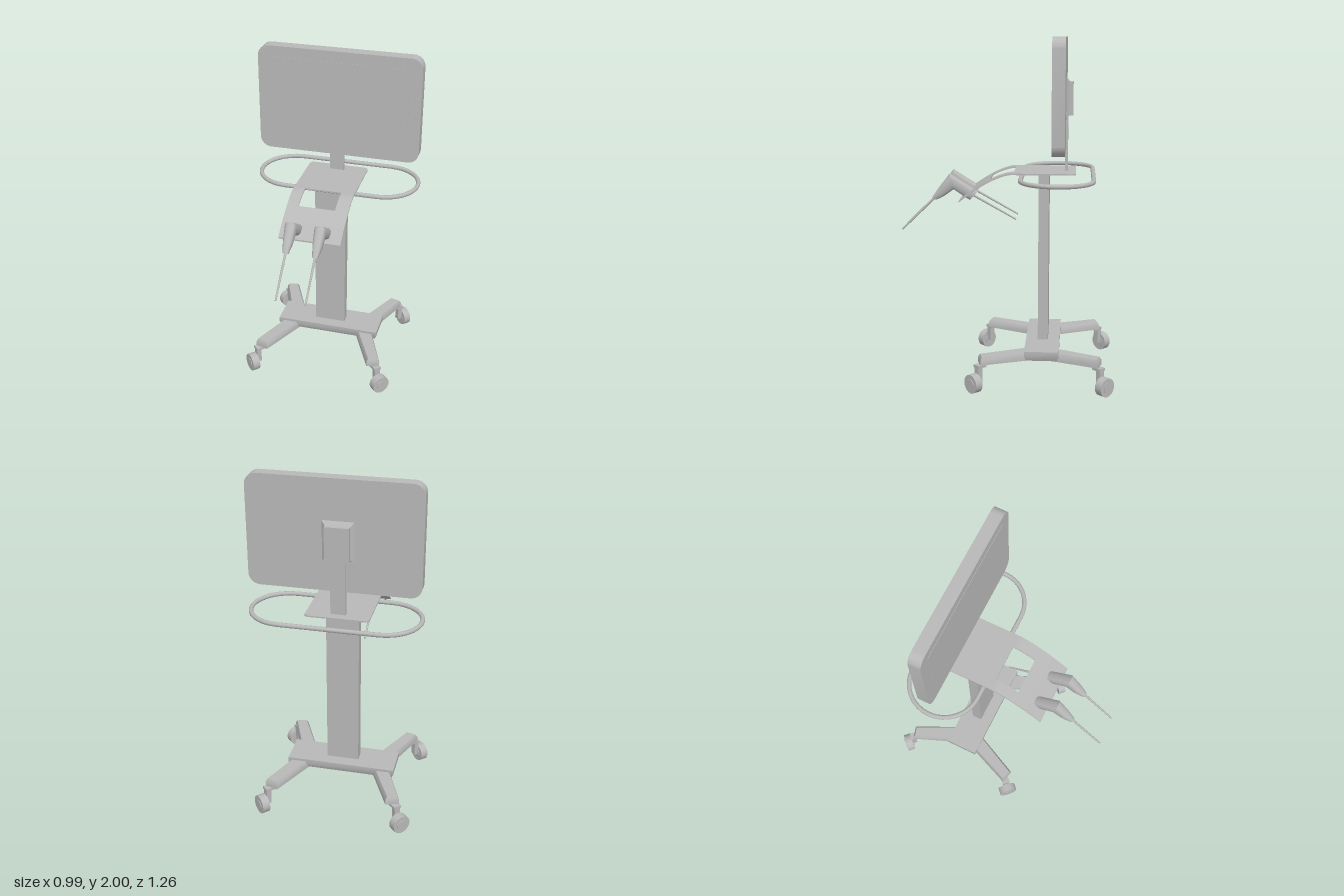
import * as THREE from 'three';
import { toCreasedNormals } from 'three/addons/utils/BufferGeometryUtils.js';

const CX = -0.025; // centre line of the stand
const V = (x, y, z) => new THREE.Vector3(x, y, z);

// Skin a list of rings (each clockwise when seen from the far end) and cap both ends
function loft(rings) {
  const pos = [], n = rings[0].length;
  const tri = (...p) => p.forEach(v => pos.push(v.x, v.y, v.z));
  const mid = r => r.reduce((s, v) => s.add(v), V(0, 0, 0)).divideScalar(n);
  const first = rings[0], last = rings[rings.length - 1];
  const m0 = mid(first), m1 = mid(last);
  for (let i = 0; i < n; i++) {
    const j = (i + 1) % n;
    for (let k = 0; k < rings.length - 1; k++) {
      const a = rings[k], b = rings[k + 1];
      tri(a[i], b[i], a[j]);
      tri(a[j], b[i], b[j]);
    }
    tri(m0, first[i], first[j]);
    tri(m1, last[j], last[i]);
  }
  const g = new THREE.BufferGeometry();
  g.setAttribute('position', new THREE.Float32BufferAttribute(pos, 3));
  return toCreasedNormals(g, 0.6);
}

// Rounded rectangle centred on the origin
function roundedRect(w, h, r) {
  const s = new THREE.Shape(), x = w / 2 - r, y = h / 2 - r;
  s.absarc(x, y, r, 0, Math.PI / 2);
  s.absarc(-x, y, r, Math.PI / 2, Math.PI);
  s.absarc(-x, -y, r, Math.PI, Math.PI * 1.5);
  s.absarc(x, -y, r, Math.PI * 1.5, Math.PI * 2);
  s.closePath();
  return s;
}

const slab = (w, h, r, depth) => toCreasedNormals(
  new THREE.ExtrudeGeometry(roundedRect(w, h, r), { depth, bevelEnabled: false, curveSegments: 8 }), 0.6);

export function createModel() {
  const model = new THREE.Group();
  const grey = new THREE.MeshStandardMaterial({ color: 0xb8b8b8 });
  grey.name = 'light grey';

  const add = (name, geo, x = 0, y = 0, z = 0, parent = model) => {
    const m = new THREE.Mesh(geo, grey);
    m.name = name;
    m.position.set(x, y, z);
    parent.add(m);
    return m;
  };
  const box = (name, x0, x1, y0, y1, z0, z1) =>
    add(name, new THREE.BoxGeometry(x1 - x0, y1 - y0, z1 - z0), (x0 + x1) / 2, (y0 + y1) / 2, (z0 + z1) / 2);
  const rod = (name, a, b, r0, r1) => {
    const m = add(name, new THREE.CylinderGeometry(r1, r0, a.distanceTo(b), 10));
    m.position.copy(a).add(b).multiplyScalar(0.5);
    m.quaternion.setFromUnitVectors(V(0, 1, 0), b.clone().sub(a).normalize());
  };

  // Monitor with its display plate, rear mount and neck
  add('monitor', slab(0.965, 0.635, 0.065, 0.072), 0, 1.6825, -0.34);
  box('display', -0.41, 0.41, 1.43, 1.935, -0.27, -0.266);
  const mountRing = (w, y0, y1, z) =>
    [V(CX - w, y1, z), V(CX + w, y1, z), V(CX + w, y0, z), V(CX - w, y0, z)];
  add('monitorMount', loft([
    mountRing(0.068, 1.555, 1.745, -0.38),
    mountRing(0.068, 1.555, 1.745, -0.358),
    mountRing(0.09, 1.545, 1.77, -0.339)]));
  box('neck', CX - 0.043, CX + 0.043, 1.225, 1.62, -0.352, -0.335);

  // Column
  box('column', CX - 0.095, CX + 0.095, 0.2, 1.227, -0.245, -0.185);

  // Tray: flat rounded back, then a sheet that curves down around a window
  const back = new THREE.Shape();
  back.moveTo(-0.182, 0.2);
  back.lineTo(0.182, 0.2);
  back.lineTo(0.182, 0.37);
  back.quadraticCurveTo(0.182, 0.4, 0.152, 0.4);
  back.lineTo(-0.152, 0.4);
  back.quadraticCurveTo(-0.182, 0.4, -0.182, 0.37);
  back.closePath();
  const backGeo = new THREE.ExtrudeGeometry(back, { depth: 0.008, bevelEnabled: false });
  add('trayBack', backGeo.rotateX(-Math.PI / 2), CX, 1.224, 0);

  const trayY = z => 1.232 - 0.986 * Math.pow(Math.max(0, z + 0.03), 1.5);
  const traySheet = (name, x0, x1, z0, z1) => {
    const rings = [];
    for (let i = 0; i <= 14; i++) {
      const z = z0 + (z1 - z0) * i / 14, y = trayY(z), t = 0.009;
      rings.push([V(x0, y, z), V(x1, y, z), V(x1, y - t, z), V(x0, y - t, z)]);
    }
    add(name, loft(rings));
  };
  traySheet('trayTop', -0.207, 0.157, -0.2, -0.043);
  traySheet('traySideRight', -0.207, -0.139, -0.043, 0.097);
  traySheet('traySideLeft', 0.079, 0.157, -0.043, 0.097);
  traySheet('trayFlap', -0.207, 0.157, 0.097, 0.272);

  // Oval hand rail
  const rail = new THREE.CurvePath();
  const points = [];
  const R = 0.205, S = 0.278;
  for (const side of [1, -1]) {
    for (let i = 0; i <= 16; i++) {
      const a = -Math.PI / 2 + Math.PI * i / 16;
      points.push(V(side * (S + R * Math.cos(a)), 1.21, -0.295 + side * R * Math.sin(a)));
    }
  }
  points.forEach((p, i) => rail.add(new THREE.LineCurve3(p, points[(i + 1) % points.length])));
  add('handRail', new THREE.TubeGeometry(rail, 140, 0.013, 10, true));

  // Probes: bent handle, needle in front and needle behind
  const stations = [ // top z, top y, bottom z, bottom y, half width
    [0.17, 1.11, 0.218, 1.06, 0.027],
    [0.19, 1.124, 0.238, 1.073, 0.032],
    [0.335, 1.215, 0.312, 1.122, 0.033],
    [0.4, 1.13, 0.365, 1.083, 0.027],
    [0.44, 1.072, 0.415, 1.058, 0.016]];
  for (const x of [-0.115, 0.055]) {
    add('probeHandle', loft(stations.map(([tz, ty, bz, by, w]) =>
      Array.from({ length: 16 }, (_, i) => {
        const a = i / 16 * Math.PI * 2;
        const c = Math.sign(Math.cos(a)) * Math.pow(Math.abs(Math.cos(a)), 0.7);
        const s = Math.sign(Math.sin(a)) * Math.pow(Math.abs(Math.sin(a)), 0.7);
        return V(x + s * w, (ty + by) / 2 + c * (ty - by) / 2, (tz + bz) / 2 + c * (tz - bz) / 2);
      }))));
    rod('frontNeedle', V(x, 1.07, 0.425), V(x, 0.878, 0.621), 0.007, 0.005);
    rod('rearNeedle', V(x, 1.09, 0.2), V(x, 0.947, -0.055), 0.007, 0.005);
  }

  // Base plate, narrower underneath
  const plateRing = (w, d, y) => [V(CX - w, y, -0.215 - d), V(CX + w, y, -0.215 - d),
    V(CX + w, y, -0.215 + d), V(CX - w, y, -0.215 + d)];
  add('basePlate', loft([plateRing(0.31, 0.088, 0.163), plateRing(0.322, 0.1, 0.19), plateRing(0.322, 0.1, 0.22)]));

  // Four splayed legs with casters
  const legBottom = [[0.165, 0.02], [0.272, 0.02], [0.398, 0.332], [0.322, 0.355]];
  const legTop = [[0.175, 0.02], [0.262, 0.02], [0.387, 0.325], [0.33, 0.342]];
  for (const sx of [1, -1]) for (const sz of [1, -1]) {
    const ring = (pts, y) => {
      const r = pts.map(([x, z]) => V(CX + sx * x, y, -0.205 + sz * z));
      return sx * sz < 0 ? r.reverse() : r;
    };
    add('leg', loft([ring(legBottom, 0.157), ring(legBottom, 0.185), ring(legTop, 0.205)]));

    const caster = new THREE.Group();
    caster.name = 'caster';
    caster.position.set(CX + sx * 0.41, 0.055, -0.205 + sz * 0.372);
    caster.rotation.y = Math.atan2(sx, sz); // local +z points outward
    model.add(caster);
    const wheelGeo = new THREE.CylinderGeometry(0.055, 0.055, 0.046, 20).rotateX(Math.PI / 2);
    add('wheel', wheelGeo, 0, 0, 0, caster);
    const hubGeo = new THREE.CylinderGeometry(0.03, 0.03, 0.054, 16).rotateX(Math.PI / 2);
    add('hub', hubGeo, 0, 0, 0, caster);
    add('casterStem', new THREE.BoxGeometry(0.034, 0.105, 0.03), 0, 0.05, -0.037, caster);
    add('casterArm', new THREE.BoxGeometry(0.045, 0.016, 0.06), 0, 0.094, -0.05, caster);
  }
  return model;
}
